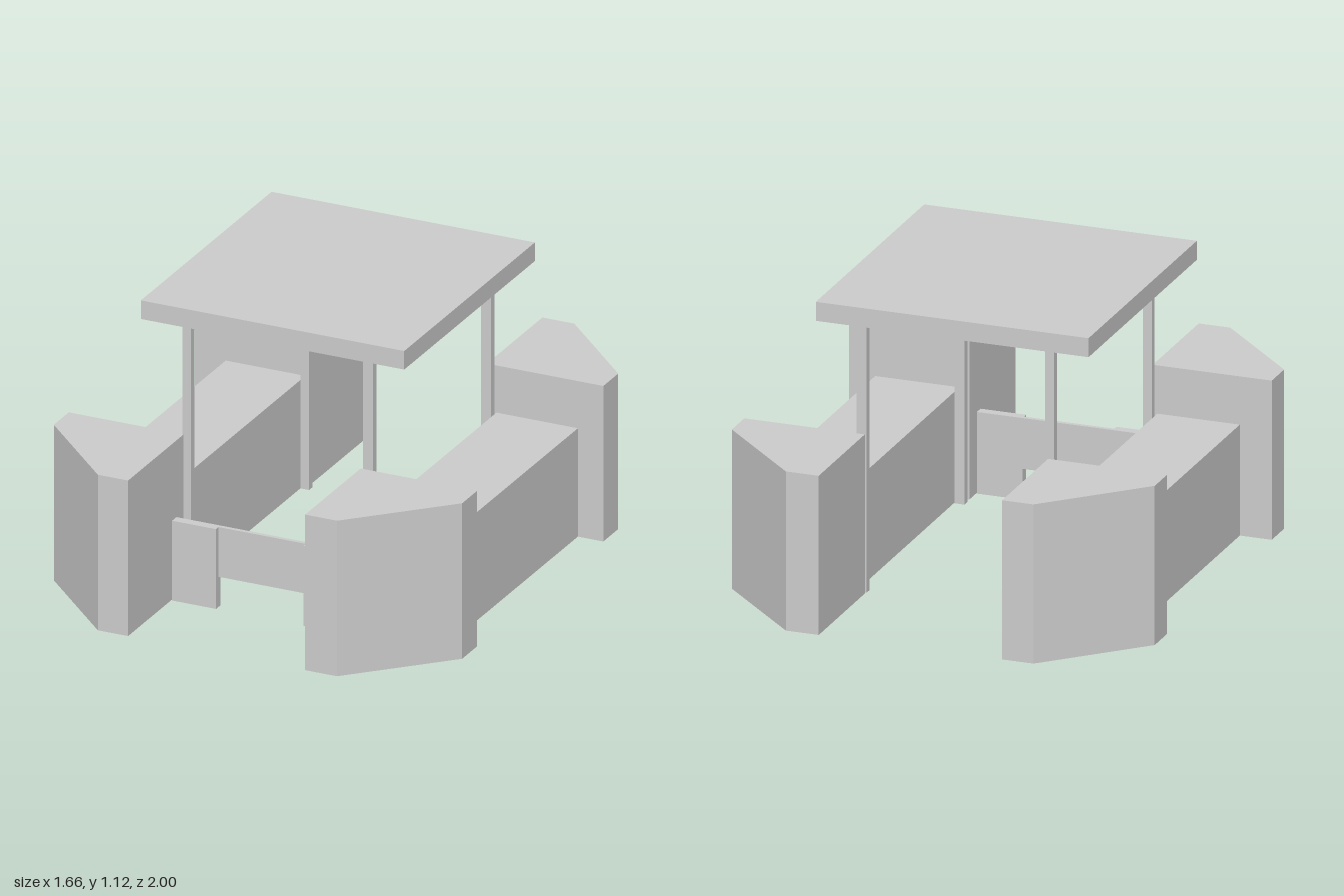
import * as THREE from 'three';

const material = new THREE.MeshStandardMaterial({ color: 0xcccccc, flatShading: true });

// Box given by its min and max corners
function box(name, [x0, y0, z0], [x1, y1, z1]) {
  const geometry = new THREE.BoxGeometry(x1 - x0, y1 - y0, z1 - z0);
  geometry.translate((x0 + x1) / 2, (y0 + y1) / 2, (z0 + z1) / 2);
  const mesh = new THREE.Mesh(geometry, material);
  mesh.name = name;
  return mesh;
}

// Corner block with one chamfered outer corner; sx and sz pick the quadrant
function cornerBlock(name, sx, sz, inner) {
  const plan = [[inner, 0.532], [0.828, 0.532], [0.828, 0.658], [0.485, 1], [inner, 1]];
  const shape = new THREE.Shape(plan.map(([x, z]) => new THREE.Vector2(sx * x, -sz * z)));
  const geometry = new THREE.ExtrudeGeometry(shape, { depth: 0.62, bevelEnabled: false });
  geometry.rotateX(-Math.PI / 2);
  const mesh = new THREE.Mesh(geometry, material);
  mesh.name = name;
  return mesh;
}

export function createModel() {
  const model = new THREE.Group();
  model.name = 'shelter';

  // Flat roof
  model.add(box('roof', [-0.533, 1.05, -0.565], [0.535, 1.124, 0.537]));

  // Long side walls
  model.add(box('leftWall', [0.395, 0, -0.533], [0.725, 0.432, 0.533]));
  model.add(box('rightWall', [-0.703, 0, -0.533], [-0.38, 0.432, 0.533]));

  // Roof posts against the inner wall faces
  for (const [end, z0, z1] of [['front', 0.475, 0.505], ['back', -0.52, -0.49]]) {
    model.add(box(end + 'LeftPost', [0.353, 0, z0], [0.393, 1.05, z1]));
    model.add(box(end + 'RightPost', [-0.38, 0, z0], [-0.345, 1.05, z1]));
  }

  // Chamfered corner blocks
  for (const [end, sz] of [['front', 1], ['back', -1]]) {
    model.add(cornerBlock(end + 'LeftBlock', 1, sz, 0.356));
    model.add(cornerBlock(end + 'RightBlock', -1, sz, 0.362));
  }

  // Low front barrier: two uprights and a thin raised panel
  const barrier = new THREE.Group();
  barrier.name = 'frontBarrier';
  barrier.add(box('rightUpright', [-0.358, 0, 0.6], [-0.18, 0.318, 0.637]));
  barrier.add(box('leftUpright', [0.174, 0, 0.6], [0.353, 0.318, 0.637]));
  barrier.add(box('panel', [-0.18, 0.12, 0.6], [0.174, 0.318, 0.616]));
  model.add(barrier);

  return model;
}
